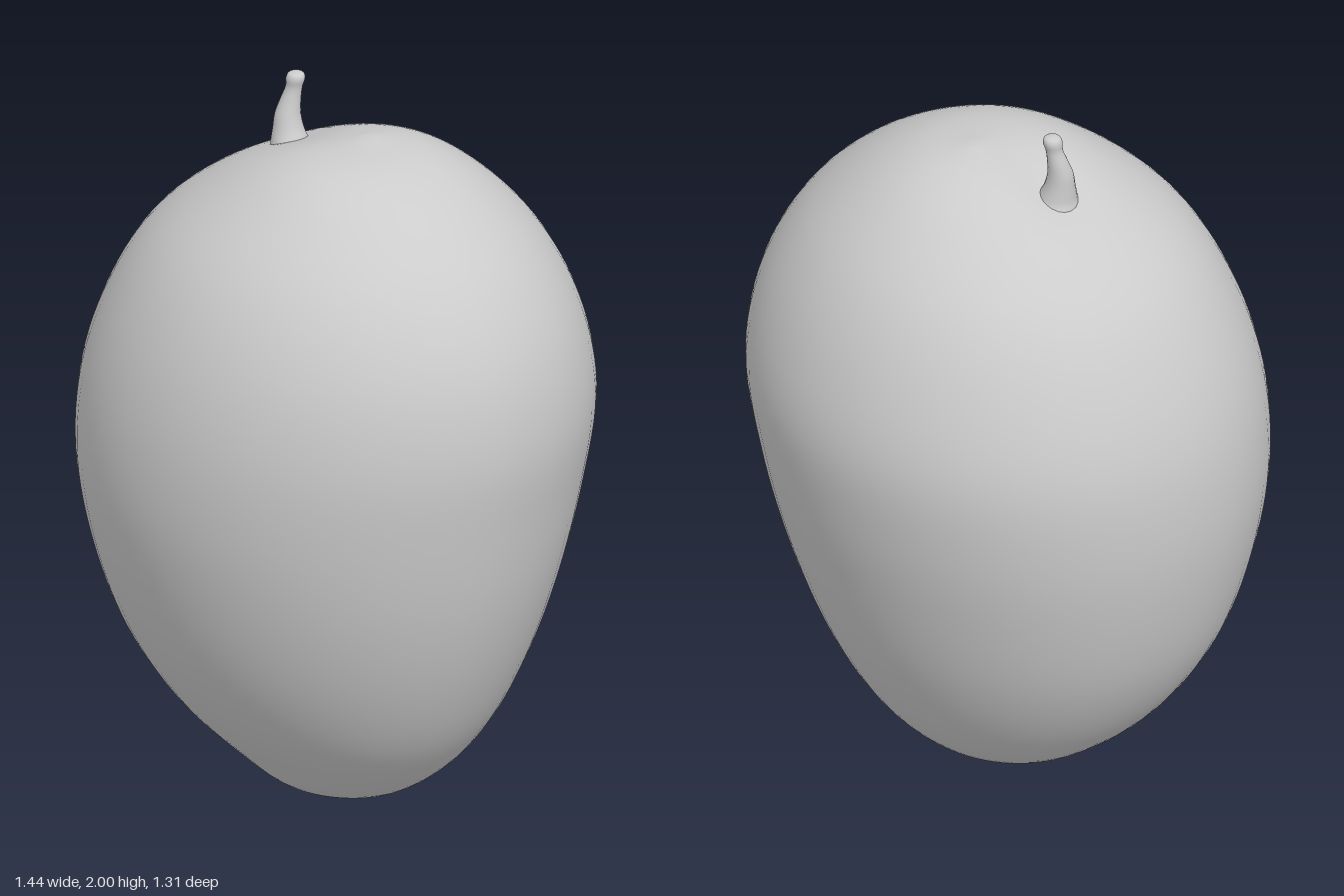
import * as THREE from 'three';
import { mergeVertices } from 'three/addons/utils/BufferGeometryUtils.js';

// Smooth closed skin through horizontal sections [y, xMin, xMax, zMin, zMax].
function loft(sections, rings, sides, shape) {
  const centres = new THREE.CatmullRomCurve3(sections.map(([y, a, b, c, d]) =>
    new THREE.Vector3((a + b) / 2, y, (c + d) / 2)), false, 'catmullrom');
  const radii = new THREE.CatmullRomCurve3(sections.map(([, a, b, c, d]) =>
    new THREE.Vector3((b - a) / 2, 0, (d - c) / 2)), false, 'catmullrom');
  const position = [], index = [];
  for (let i = 0; i <= rings; i++) {
    const c = centres.getPoint(i / rings), r = radii.getPoint(i / rings);
    for (let j = 0; j < sides; j++) {
      const a = (j / sides) * Math.PI * 2;
      const p = new THREE.Vector3(c.x + r.x * Math.cos(a), c.y, c.z + r.z * Math.sin(a));
      if (shape) shape(p, c, a);
      position.push(p.x, p.y, p.z);
      if (i < rings) {
        const k = (j + 1) % sides, lo = i * sides, hi = lo + sides;
        if (i > 0) index.push(lo + j, hi + j, lo + k);
        if (i < rings - 1) index.push(lo + k, hi + j, hi + k);
      }
    }
  }
  let geometry = new THREE.BufferGeometry();
  geometry.setAttribute('position', new THREE.Float32BufferAttribute(position, 3));
  geometry.setIndex(index);
  geometry = mergeVertices(geometry, 1e-5);
  geometry.computeVertexNormals();
  return geometry;
}

export function createModel() {
  const model = new THREE.Group();
  model.name = 'fruit';
  const material = new THREE.MeshStandardMaterial({ color: 0xcccccc });

  // Lopsided, egg-like flesh; sections are evenly spaced along the outline
  const bodySections = [
    [0, 0.01, 0.01, 0, 0],
    [0.03, -0.165, 0.19, -0.155, 0.155],
    [0.127, -0.335, 0.34, -0.285, 0.27],
    [0.277, -0.49, 0.47, -0.395, 0.405],
    [0.4725, -0.61, 0.57, -0.49, 0.52],
    [0.70, -0.682, 0.645, -0.567, 0.60],
    [0.945, -0.717, 0.692, -0.628, 0.647],
    [1.19, -0.703, 0.717, -0.655, 0.643],
    [1.4175, -0.628, 0.678, -0.607, 0.587],
    [1.613, -0.505, 0.57, -0.51, 0.483],
    [1.763, -0.315, 0.41, -0.37, 0.325],
    [1.855, -0.115, 0.235, -0.225, 0.16],
    [1.89, 0.04, 0.04, -0.07, -0.07],
  ];
  const body = new THREE.Mesh(loft(bodySections, 72, 64, (p, c, a) => {
    // flatter front-left flank, fuller front-right one
    const f = 1 - Math.sin(2 * a) * (Math.sin(a) > 0 ? 0.035 : 0.01);
    p.x = c.x + (p.x - c.x) * f;
    p.z = c.z + (p.z - c.z) * f;
    // shallow hollow and crease running from the stalk
    if (p.y > 1.5) {
      const dx = p.x + 0.2, reach = dx > 0 ? 0.2 : 0.1;
      p.y -= 0.018 * Math.exp(-((dx / reach) ** 2) - (p.z / 0.09) ** 2);
    }
  }), material);
  body.name = 'flesh';
  model.add(body);

  // Short bent stalk: [y, x, z, radius], flared at the foot, knobbed at the tip
  const stalkRings = [
    [1.73, -0.195, 0.005, 0],
    [1.765, -0.195, 0.005, 0.062],
    [1.80, -0.2, 0.01, 0.054],
    [1.84, -0.21, 0.01, 0.042],
    [1.88, -0.215, 0.008, 0.035],
    [1.92, -0.213, 0, 0.028],
    [1.955, -0.208, -0.007, 0.023],
    [1.98, -0.205, -0.01, 0.026],
    [1.995, -0.204, -0.011, 0.02],
    [2.0, -0.204, -0.011, 0],
  ];
  const stalk = new THREE.Mesh(loft(stalkRings.map(([y, x, z, r]) =>
    [y, x - r, x + r, z - r, z + r]), 36, 20), material);
  stalk.name = 'stalk';
  model.add(stalk);
  return model;
}
